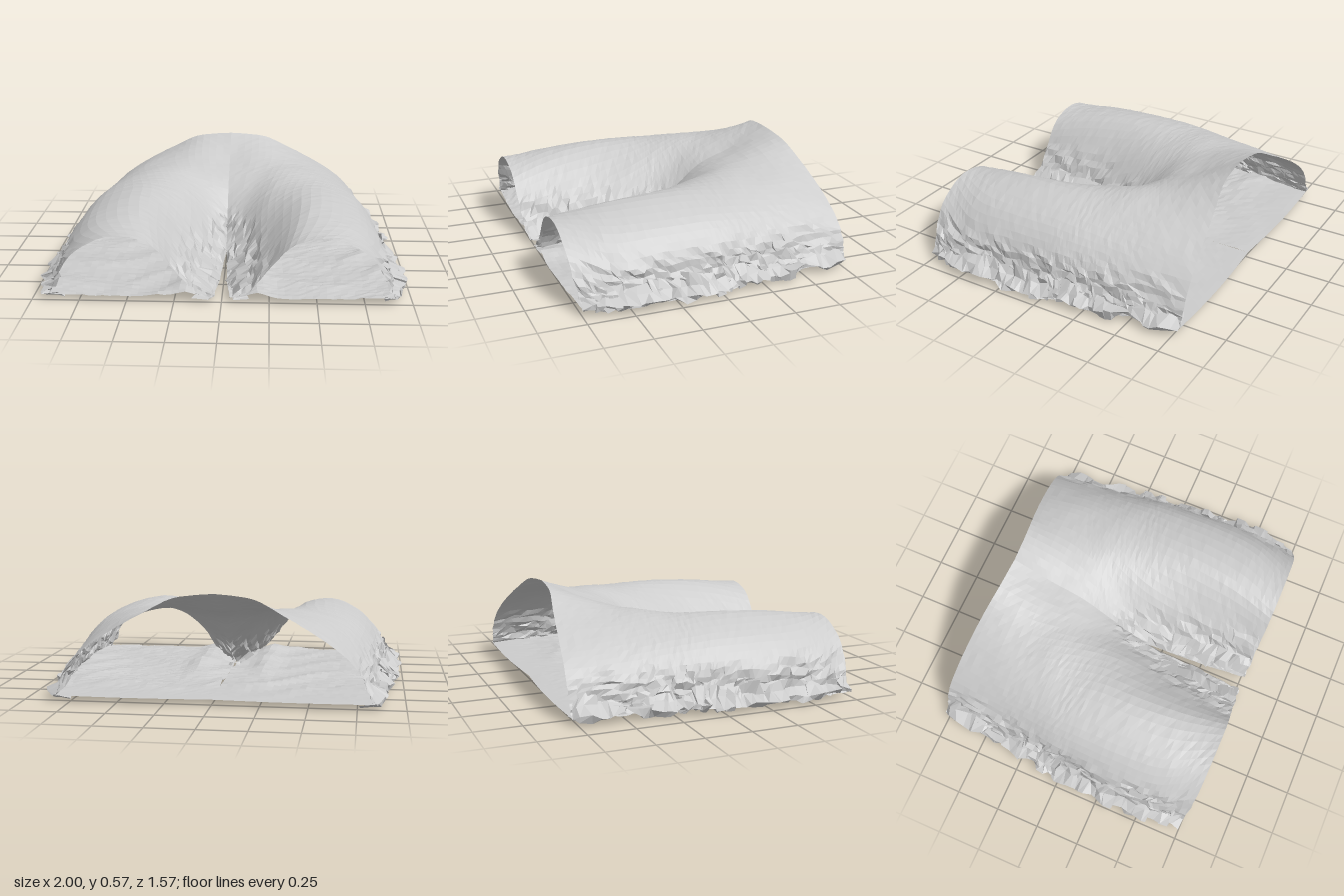
import * as THREE from 'three';

const V = (x, y, z) => new THREE.Vector3(x, y, z);
const { lerp, clamp, smoothstep } = THREE.MathUtils;
const ROWS = 56, COLS = 32;

// Half cross-sections of the upper cloth from the middle outwards: z, then [x, y] pairs
const SECTIONS = [
  [-0.775, [[0, .575], [.2, .555], [.36, .48], [.52, .39], [.67, .29], [.765, .19], [.805, .1], [.825, .035]]],
  [-0.45, [[0, .465], [.2, .482], [.39, .45], [.56, .4], [.7, .31], [.8, .2], [.84, .1], [.87, .035]]],
  [-0.25, [[0, .385], [.16, .415], [.34, .448], [.53, .42], [.71, .335], [.82, .21], [.86, .1], [.895, .035]]],
  [-0.1, [[0, .26], [.12, .32], [.29, .41], [.5, .425], [.72, .35], [.84, .22], [.875, .1], [.92, .035]]],
  [0.05, [[0, .13], [.1, .225], [.25, .355], [.47, .428], [.72, .36], [.85, .22], [.885, .1], [.935, .035]]],
  [0.3, [[.012, .04], [.1, .115], [.24, .275], [.46, .42], [.72, .36], [.86, .22], [.895, .1], [.945, .035]]],
  [0.55, [[.022, .04], [.12, .09], [.245, .235], [.43, .39], [.69, .36], [.86, .2], [.9, .1], [.945, .035]]],
  [0.785, [[.045, .04], [.135, .07], [.24, .19], [.37, .335], [.57, .375], [.76, .285], [.865, .14], [.91, .035]]],
];
// The waist edge dips forward in the middle; the hem draws back at the outer seam
const WAIST_DIP = [.1, .085, .055, .03, .01, 0, 0, 0];
const HEM_DIP = [.02, .01, .005, 0, 0, .005, .02, .04];

// Repeatable noise in -1..1
function noise(a, b, c) {
  const s = Math.sin(a * 127.1 + b * 311.7 + c * 74.7) * 43758.5453;
  return 2 * (s - Math.floor(s)) - 1;
}

// Noise drawn out along the seam, for long folds
function fold(a, b, c) {
  const k = a / 1.7, i = Math.floor(k);
  return lerp(noise(i, b, c), noise(i + 1, b, c), k - i);
}

// Grid surface from rows of points
function grid(rows, flip) {
  const pos = [], idx = [], n = rows[0].length;
  rows.forEach(r => r.forEach(p => pos.push(p.x, p.y, p.z)));
  for (let i = 0; i < rows.length - 1; i++) {
    for (let j = 0; j < n - 1; j++) {
      const a = i * n + j, b = a + 1, c = a + n, d = c + 1;
      if (flip) idx.push(a, b, c, b, d, c);
      else idx.push(a, c, b, b, c, d);
    }
  }
  const g = new THREE.BufferGeometry();
  g.setAttribute('position', new THREE.Float32BufferAttribute(pos, 3));
  g.setIndex(idx);
  const flat = g.toNonIndexed();
  flat.computeVertexNormals();
  return flat;
}

// Smooth half of the upper cloth
function upperRows() {
  const last = SECTIONS.length - 1;
  const lines = WAIST_DIP.map((dip, k) => new THREE.CatmullRomCurve3(SECTIONS.map(([z, pts], s) =>
    V(pts[k][0], pts[k][1], z + (s === 0 ? dip : 0) - (s === last ? HEM_DIP[k] : 0)))));
  return Array.from({ length: ROWS + 1 }, (_, i) => {
    const section = new THREE.CatmullRomCurve3(lines.map(l => l.getPoint(i / ROWS)));
    return Array.from({ length: COLS + 1 }, (_, j) => section.getPoint(j / COLS));
  });
}

// Crumples the upper cloth where it nears the seams
function crumple(rows, side) {
  return rows.map((row, i) => row.map((p, j) => {
    const amp = .018 * (1 - smoothstep(p.y, .14, .29));
    const ends = i === 0 || i === ROWS ? .3 : 1;
    const x = p.x + (j > 0 ? amp * ends * fold(i, j, 1 + side) : 0);
    const y = p.y + amp * ends * fold(i, j, 5 + (j > 0 ? side : 0)) + .0015 * noise(i, j, 9);
    return V(Math.max(x, 0) * side, Math.max(y, .015), p.z + amp * ends * noise(i, j, 7));
  }));
}

// Lower cloth with sharp cross wrinkles, lying flat between the seams
function lowerRows(upper, side) {
  return upper.map((row, i) => {
    const a = row[0], b = row[COLS], waist = Math.max(0, 1 - i / 10);
    return Array.from({ length: 25 }, (_, j) => {
      const t = j / 24, mid = Math.sin(Math.PI * t), x = lerp(a.x, b.x, t);
      const z = lerp(a.z - waist * .09, b.z, t) + mid * (i === ROWS ? .012 : -.015 * waist);
      const ridge = .03 * Math.exp(-(((x - .19) / .07) ** 2)) * smoothstep(z, -.3, .1);
      const crest = Math.abs(Math.sin(z * 9 + x * 3 * side + Math.sin(x * 8)));
      const wrinkle = .02 * (1 - crest) * Math.abs(Math.sin(x * 5 - z * 3 + side));
      return V(x * side, .038 + (ridge + wrinkle + .003 * noise(i, j, 3)) * (1 - waist), z);
    });
  });
}

// Frayed ribbon folded along a seam; profile gives [outward, height] steps
function frayRows(edge, side, profile, amp, seed) {
  return edge.map((e, i) => profile.map(([dx, y], j) => {
    const z = clamp(e.z + amp * .7 * noise(i, j, seed + 2), -.775, .775);
    const x = e.x + dx + amp * fold(i, j, seed + side);
    return V(side * clamp(x, .004, 1), Math.max(0, y + amp * .8 * fold(i, j, seed + 4)), z);
  }));
}

export function createModel() {
  const model = new THREE.Group();
  model.name = 'shorts';
  const cloth = new THREE.MeshStandardMaterial({ color: 0xcccccc, flatShading: true, side: THREE.DoubleSide });
  const add = (name, rows, flip) => {
    const mesh = new THREE.Mesh(grid(rows, flip), cloth);
    mesh.name = name;
    model.add(mesh);
  };
  const upper = upperRows();
  const outerEdge = upper.map(r => r[COLS]);
  const innerEdge = upper.map(r => r[0]).filter(p => p.z > .12);

  for (const side of [1, -1]) {
    const label = side > 0 ? 'left' : 'right';
    add(label + 'UpperCloth', crumple(upper, side), side < 0);
    add(label + 'LowerCloth', lowerRows(upper, side), side > 0);

    // Ragged outer side seam, flaring to the ground
    add(label + 'OuterSeam', frayRows(outerEdge, side,
      [[-.05, .13], [-.02, .085], [.035, .055], [.025, .03], [-.06, .025]], .03, 11), side < 0);

    // Ragged inner leg seam
    add(label + 'InnerSeam', frayRows(innerEdge, side,
      [[.1, .12], [.05, .085], [.008, .05], [.03, .025], [.1, .025]], .022, 23), side > 0);
  }
  return model;
}
